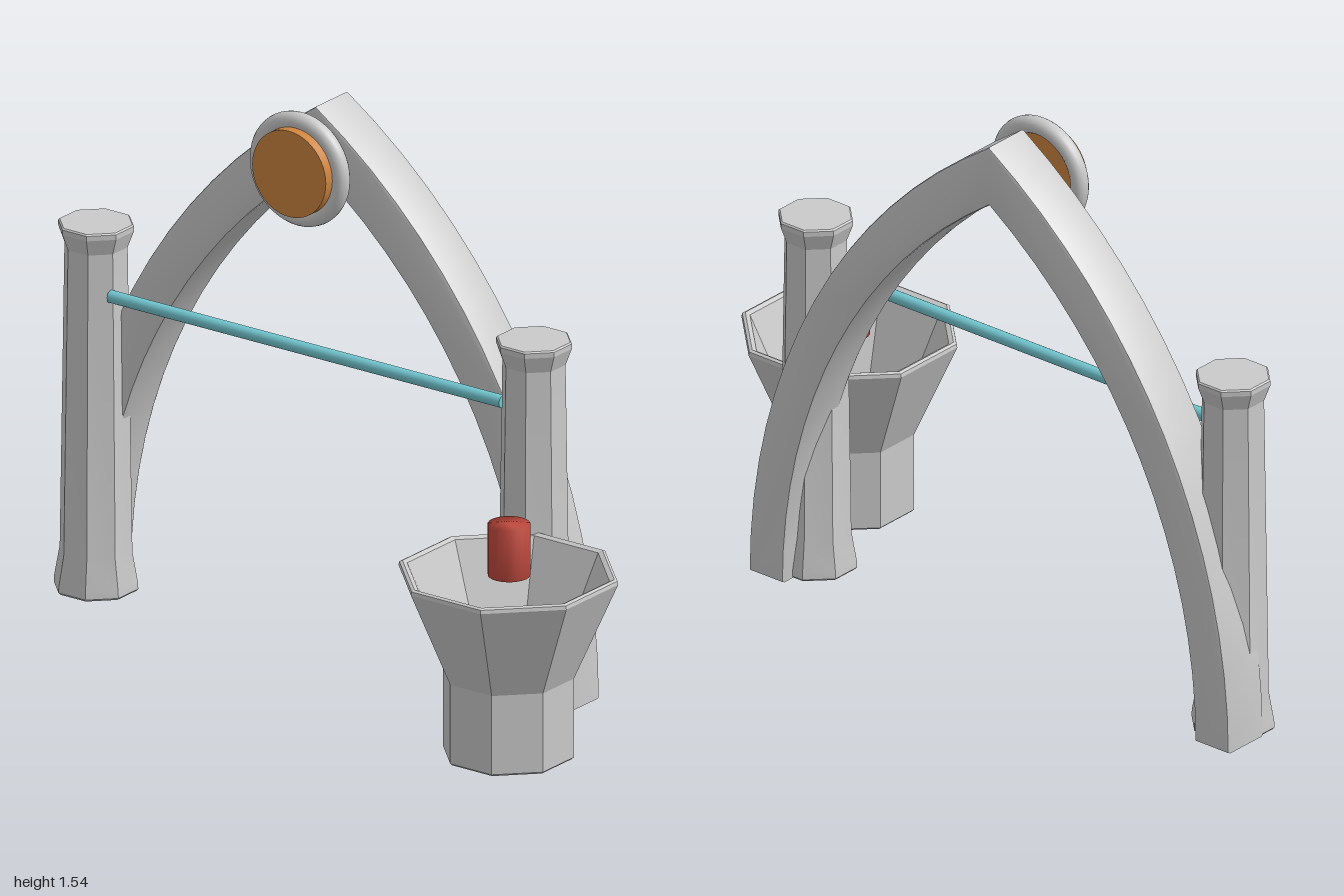
import * as THREE from 'three';
import { mergeVertices, toCreasedNormals } from 'three/addons/utils/BufferGeometryUtils.js';

const mat = (name, color) => {
  const m = new THREE.MeshStandardMaterial({ color });
  m.name = name;
  return m;
};

// Eight-sided turned form with flats facing the axes; radii are given to the flats
function octagonLathe(profile) {
  const k = 1 / Math.cos(Math.PI / 8);
  const pts = profile.map(([r, y]) => new THREE.Vector2(r * k, y));
  return toCreasedNormals(new THREE.LatheGeometry(pts, 8, Math.PI / 8), 0.3);
}

// Pointed-arch half curve from the foot (-half, 0) to the apex (0, height)
function archCurve(half, height, steps = 16) {
  const r = (half * half + height * height) / (2 * half);
  const end = Math.asin(height / r);
  return Array.from({ length: steps + 1 }, (_, i) => {
    const a = (end * i) / steps;
    return new THREE.Vector2(r - half - r * Math.cos(a), r * Math.sin(a));
  });
}

// Complete pointed curve, left foot to right foot
function pointedCurve(half, height) {
  const left = archCurve(half, height);
  const right = left.slice(0, -1).reverse().map((p) => new THREE.Vector2(-p.x, p.y));
  return [...left, ...right];
}

export function createModel() {
  const group = new THREE.Group();
  const stone = mat('stone', 0xcacaca);
  const bronze = mat('bronze', 0xcd853f);
  const cyan = mat('cyan', 0x74c8d2);
  const red = mat('red', 0xc24a3e);

  const add = (name, geometry, material, x = 0, y = 0, z = 0) => {
    const mesh = new THREE.Mesh(geometry, material);
    mesh.name = name;
    mesh.position.set(x, y, z);
    group.add(mesh);
    return mesh;
  };

  const archX = -0.166;

  // Pointed arch with softly bevelled edges
  const outline = new THREE.Shape([
    ...pointedCurve(0.834, 1.533),
    ...pointedCurve(0.716, 1.36).reverse(),
  ]);
  const bevel = 0.008;
  const depth = 0.146;
  const arch = new THREE.ExtrudeGeometry(outline, {
    depth: depth - 2 * bevel,
    bevelEnabled: true,
    bevelSize: bevel,
    bevelOffset: -bevel,
    bevelThickness: bevel,
    bevelSegments: 2,
  });
  add('arch', toCreasedNormals(arch, 0.5), stone, archX, 0, -0.376 + bevel);

  // Octagonal posts with flared foot and cap
  const post = octagonLathe([
    [0, 0], [0.102, 0], [0.107, 0.006], [0.106, 0.025], [0.092, 0.11],
    [0.08, 0.975], [0.096, 1.022], [0.096, 1.036], [0.092, 1.04], [0, 1.04],
  ]);
  add('rightPost', post, stone, -0.892, 0, -0.229);
  add('leftPost', post, stone, 0.559, 0, -0.229);

  // Crossbar between the posts
  const bar = new THREE.CylinderGeometry(0.0175, 0.0175, 1.3, 20);
  add('crossbar', bar, cyan, -0.163, 0.858, -0.188).rotation.z = Math.PI / 2;

  // Round medallion in front of the apex
  add('medallionRing', new THREE.TorusGeometry(0.136, 0.0245, 16, 48), stone, archX, 1.378, -0.1615);
  const disc = new THREE.CylinderGeometry(0.122, 0.122, 0.05, 48);
  add('medallionDisc', disc, bronze, archX, 1.378, -0.138).rotation.x = Math.PI / 2;

  // Octagonal planter with a hollow bowl
  const planter = octagonLathe([
    [0, 0], [0.16, 0], [0.166, 0.006], [0.166, 0.23], [0.278, 0.508],
    [0.276, 0.518], [0.268, 0.522], [0.256, 0.516], [0.14, 0.23], [0, 0.23],
  ]);
  add('planter', planter, stone, 0.72, 0, 0.1);

  // Short red cylinder over the bowl, softly shaded across its rims
  let bud = new THREE.CylinderGeometry(0.057, 0.057, 0.145, 24);
  bud.deleteAttribute('normal');
  bud.deleteAttribute('uv');
  bud = mergeVertices(bud);
  bud.computeVertexNormals();
  add('bud', bud, red, 0.72, 0.58, 0.097);

  return group;
}
